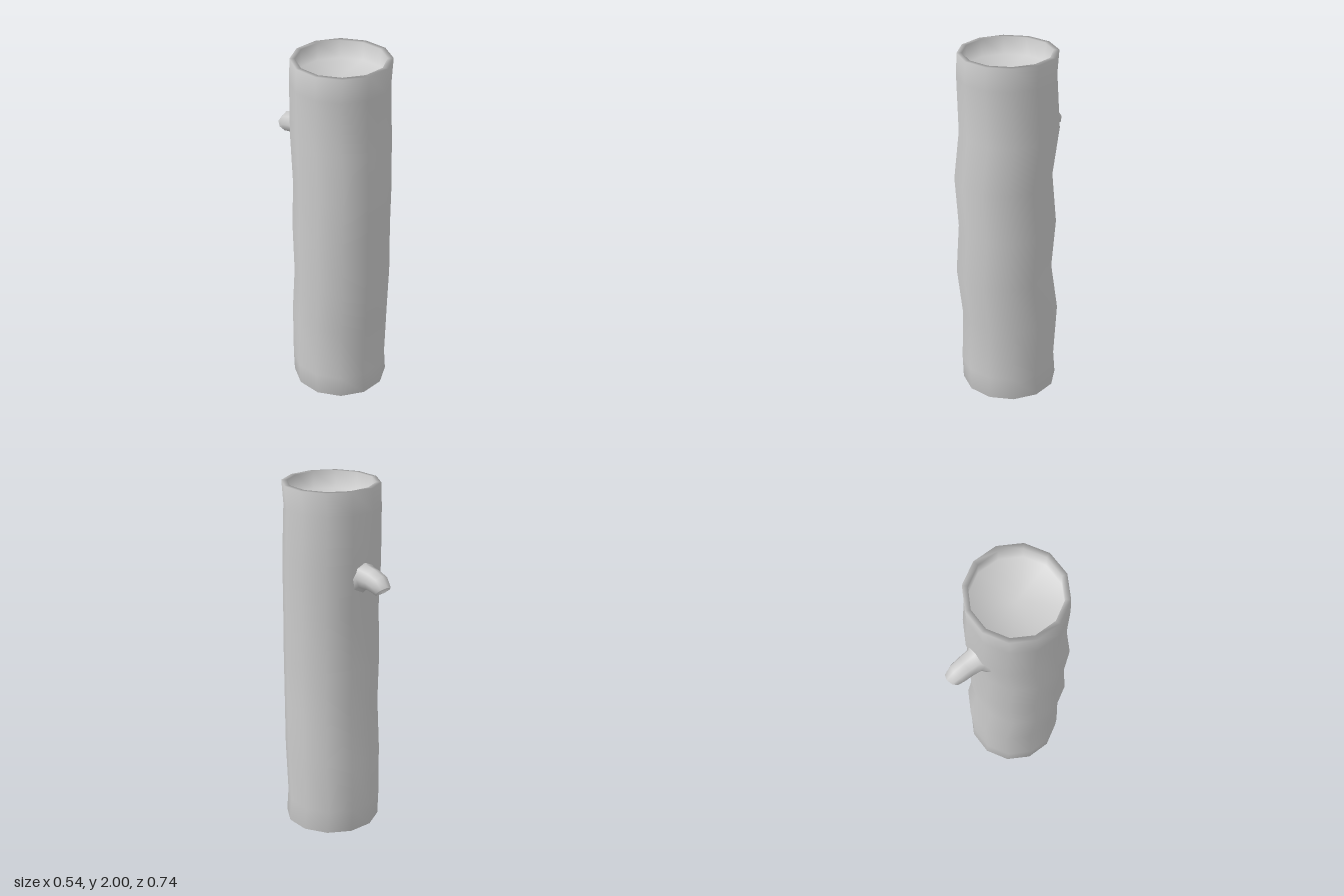
import * as THREE from 'three';

const material = new THREE.MeshStandardMaterial({ color: 0xcccccc });

// Smooth skin over rings [x, y, z, radius, tilt]; tilt -PI/2 faces up, 0 faces back.
function loft(name, rings, sides, turn) {
  const positions = [];
  const indices = [];
  for (const [x, y, z, r, tilt] of rings) {
    for (let j = 0; j < sides; j++) {
      const a = turn + (j / sides) * Math.PI * 2;
      const v = r * Math.sin(a);
      positions.push(x + r * Math.cos(a), y + v * Math.cos(tilt), z - v * Math.sin(tilt));
    }
  }
  for (let i = 0; i < rings.length - 1; i++) {
    for (let j = 0; j < sides; j++) {
      const k = (j + 1) % sides;
      const a = i * sides + j, b = a + sides;
      const d = i * sides + k, c = d + sides;
      if (rings[i + 1][3] > 0) indices.push(a, b, c);
      if (rings[i][3] > 0) indices.push(a, c, d);
      else if (rings[i + 1][3] > 0) continue;
    }
  }
  const geometry = new THREE.BufferGeometry();
  geometry.setAttribute('position', new THREE.Float32BufferAttribute(positions, 3));
  geometry.setIndex(indices);
  geometry.computeVertexNormals();
  const mesh = new THREE.Mesh(geometry, material);
  mesh.name = name;
  return mesh;
}

export function createModel() {
  const group = new THREE.Group();
  group.name = 'log';

  // Trunk: recessed lower end, wavering bark, recessed upper end
  const up = -Math.PI / 2;
  const trunk = [
    [0, 0.1, 0.085, 0],
    [0, 0.1, 0.085, 0.243],
    [0, 0, 0.085, 0.24],
    [0.002, 0, 0.085, 0.269],
    [-0.007, 0.13, 0.085, 0.267],
    [0.005, 0.44, 0.079, 0.272],
    [-0.012, 0.72, 0.11, 0.268],
    [-0.001, 1.0, 0.092, 0.271],
    [-0.013, 1.29, 0.11, 0.268],
    [0.005, 1.56, 0.08, 0.272],
    [-0.007, 1.87, 0.085, 0.267],
    [0.002, 2, 0.085, 0.269],
    [0, 2, 0.085, 0.24],
    [0, 1.9, 0.085, 0.243],
    [0, 1.9, 0.085, 0],
  ].map((ring) => [...ring, up]);
  group.add(loft('trunk', trunk, 12, Math.PI / 12));

  // Branch stub: flares from the trunk, droops, and ends in a shallow hollow
  const branch = [
    [-0.012, 1.525, -0.16, 0.1, 0],
    [-0.012, 1.528, -0.19, 0.068, 0],
    [-0.011, 1.524, -0.25, 0.062, 0.1],
    [-0.011, 1.511, -0.3, 0.058, 0.4],
    [-0.009, 1.483, -0.332, 0.046, 0.87],
    [-0.009, 1.483, -0.332, 0.036, 0.87],
    [-0.009, 1.499, -0.318, 0.034, 0.87],
    [-0.009, 1.499, -0.318, 0, 0.87],
  ];
  group.add(loft('branchStub', branch, 8, 0));

  return group;
}
